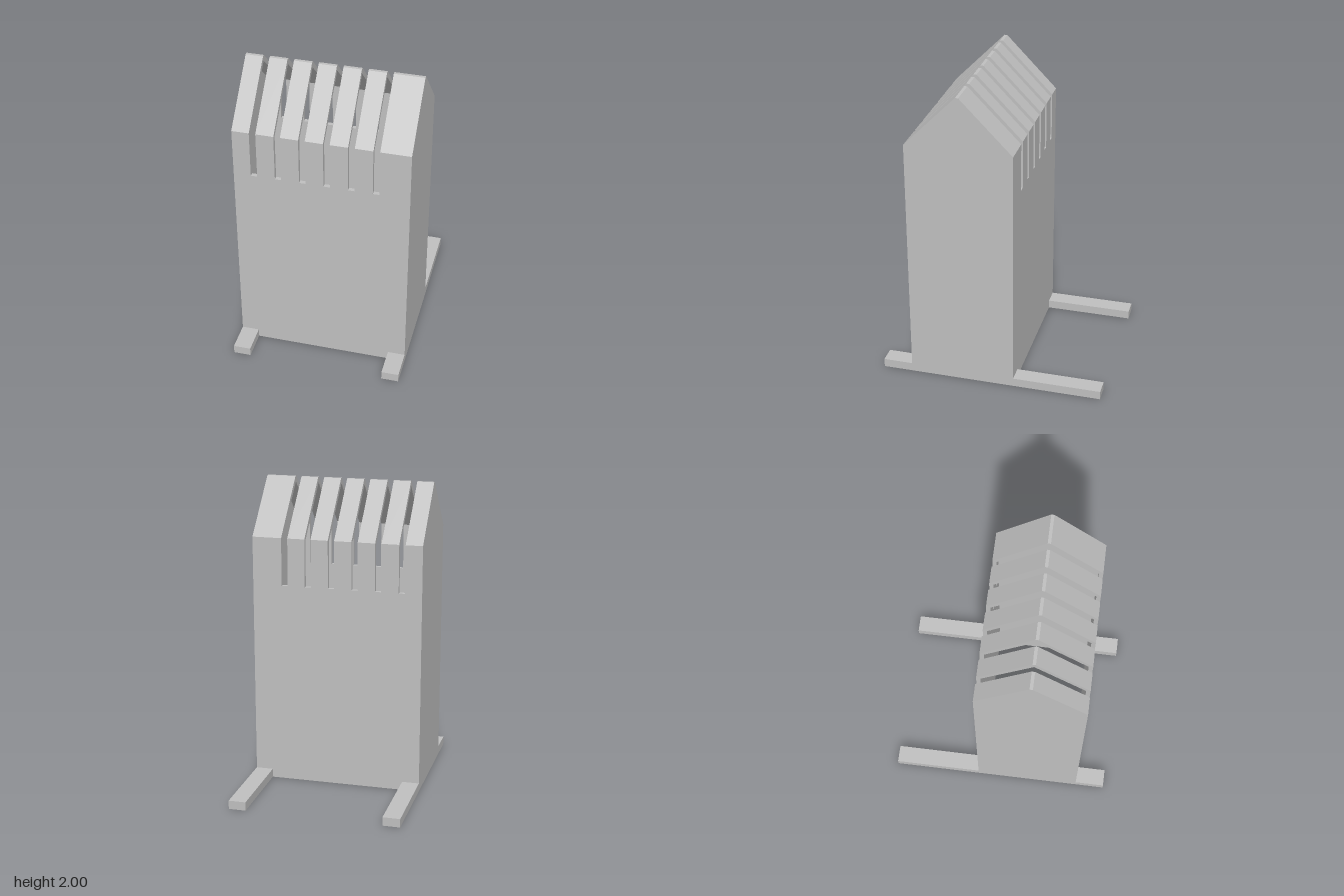
import * as THREE from 'three';

const HALF = 0.56, BACK = -0.155, FRONT = 0.54, WALL = 0.027;
const EAVE = 1.655, TOP = 2, SLOT_Y = 1.34;
const IN_L = -HALF + WALL, IN_R = 0.45; // cavity limits in x (one thick side wall)
const RIDGE = (FRONT + BACK) / 2;

export function createModel() {
  const group = new THREE.Group();
  const grey = new THREE.MeshStandardMaterial({ color: 0xbfbfbf });
  grey.name = 'plain grey';

  const add = (name, geometry) => {
    const mesh = new THREE.Mesh(geometry, grey);
    mesh.name = name;
    group.add(mesh);
  };
  const box = (name, x0, x1, y0, y1, z0, z1) => {
    const g = new THREE.BoxGeometry(x1 - x0, y1 - y0, z1 - z0);
    g.translate((x0 + x1) / 2, (y0 + y1) / 2, (z0 + z1) / 2);
    add(name, g);
  };
  // Extrude a (z, y) outline along x
  const slab = (name, points, x0, x1) => {
    const shape = new THREE.Shape(points.map(([z, y]) => new THREE.Vector2(z, y)));
    const g = new THREE.ExtrudeGeometry(shape, { depth: x1 - x0, bevelEnabled: false });
    g.rotateY(-Math.PI / 2);
    g.translate(x1, 0, 0);
    add(name, g);
  };

  // Gable outline with a narrow flat ridge, starting at a given height
  const gable = (y) => [
    [BACK, y], [FRONT, y], [FRONT, EAVE],
    [RIDGE + 0.01, TOP], [RIDGE - 0.01, TOP], [BACK, EAVE],
  ];

  // Full-height end walls
  slab('thinSideWall', gable(0), -HALF, IN_L);
  slab('thickSideWall', gable(0), IN_R, HALF);

  // Front and back walls up to the bottom of the slots; the base is open
  box('frontWall', IN_L, IN_R, 0, SLOT_Y, FRONT - WALL, FRONT);
  box('backWall', IN_L, IN_R, 0, SLOT_Y, BACK, BACK + WALL);

  // Hollow roof ribs separated by six slots
  const innerEave = EAVE - 0.011;
  const rib = [
    ...gable(SLOT_Y),
    [BACK, SLOT_Y], [BACK + WALL, SLOT_Y], [BACK + WALL, innerEave],
    [RIDGE, innerEave + RIDGE - BACK - WALL],
    [FRONT - WALL, innerEave], [FRONT - WALL, SLOT_Y],
  ].slice(1, -1);
  rib.push([FRONT - WALL, SLOT_Y]);
  let start = IN_L;
  for (let i = 0; i < 6; i++) {
    const slot = -0.449 + i * 0.155;
    slab('roofRib', rib, start, slot);
    start = slot + 0.041;
  }
  slab('roofRib', rib, start, IN_R);

  // Foot rails: short at the front, long at the back
  for (const side of [-1, 1]) {
    const x0 = side < 0 ? -HALF : 0.447;
    box('frontFoot', x0, x0 + 0.113, 0, 0.057, FRONT, 0.735);
    box('backFoot', x0, x0 + 0.113, 0, 0.057, -0.735, BACK);
  }
  return group;
}
